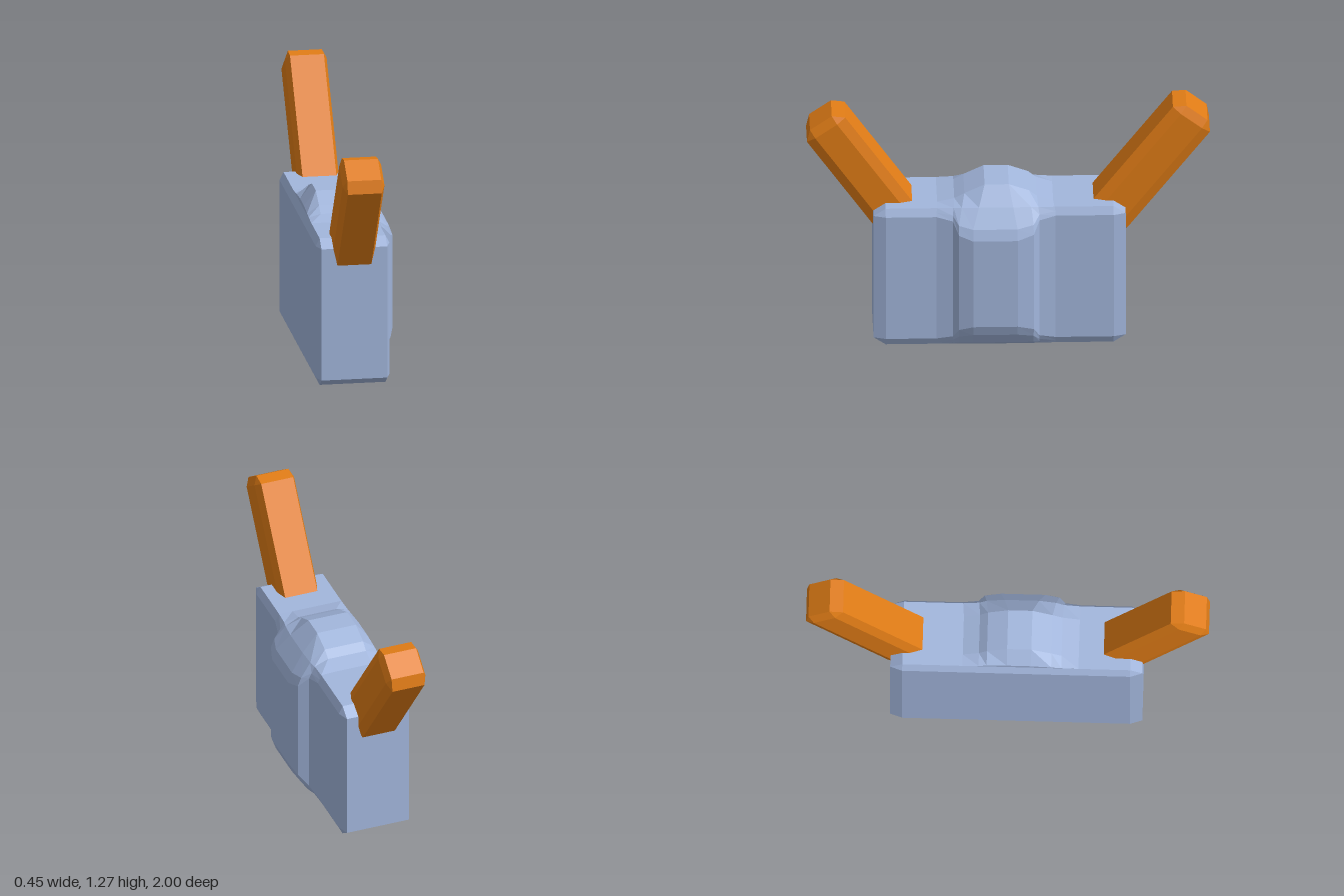
import * as THREE from 'three';
import { ConvexGeometry } from 'three/addons/geometries/ConvexGeometry.js';

const blue = new THREE.MeshStandardMaterial({ color: 0xa2b6dc, flatShading: true });
const orange = new THREE.MeshStandardMaterial({ color: 0xe07c16, flatShading: true });

// Box with half sizes h, its edges cut back by c along each axis
function chamferBox(h, c) {
  const points = [];
  for (const x of [-1, 1]) for (const y of [-1, 1]) for (const z of [-1, 1]) {
    for (let face = 0; face < 3; face++) {
      const p = [0, 1, 2].map(k => h[k] - (k === face ? 0 : c[k]));
      points.push(new THREE.Vector3(x * p[0], y * p[1], z * p[2]));
    }
  }
  return new ConvexGeometry(points);
}

// Raised band that wraps over the top and down the +x side of the body
function bandGeometry() {
  // [flush x, flush y, raised x, raised y, share of the top's spacing]
  const profile = [
    [-0.21, 0.74, -0.21, 0.74, 1],
    [-0.21, 0.76, -0.21, 0.78, 1],
    [-0.15, 0.76, -0.15, 0.855, 1],
    [0.05, 0.76, 0.055, 0.855, 1],
    [0.12, 0.76, 0.14, 0.77, 0.5],
    [0.13, 0.74, 0.205, 0.68, 0],
    [0.14, 0.72, 0.225, 0.625, 0],
    [0.14, 0.04, 0.225, 0.145, 0],
    [0.13, 0.02, 0.205, 0.09, 0],
    [0.125, 0.01, 0.16, 0.025, 0],
    [0.12, 0, 0.125, 0, 0],
  ];
  // [z on the side, z on the top, rise on the side, rise on the top]
  const sections = [
    [0.36, 0.355, 0, 0],
    [0.28, 0.27, 0.18, 0.2],
    [0.25, 0.22, 0.76, 0.5],
    [0.18, 0.12, 1, 1],
    [-0.04, 0, 1, 1],
    [-0.12, -0.1, 0.76, 0.62],
    [-0.15, -0.14, 0.18, 0.28],
    [-0.23, -0.22, 0, 0],
  ];
  const positions = [], index = [], n = profile.length;
  const mix = THREE.MathUtils.lerp;
  for (const [zSide, zTop, tSide, tTop] of sections) {
    for (const [x0, y0, x1, y1, w] of profile) {
      const t = mix(tSide, tTop, w);
      positions.push(mix(x0, x1, t), mix(y0, y1, t), mix(zSide, zTop, w));
    }
  }
  for (let s = 0; s < sections.length - 1; s++) {
    for (let i = 0; i < n - 1; i++) {
      const a = s * n + i, d = a + n;
      index.push(a, a + 1, d + 1, a, d + 1, d);
    }
  }
  const g = new THREE.BufferGeometry();
  g.setAttribute('position', new THREE.Float32BufferAttribute(positions, 3));
  g.setIndex(index);
  const flat = g.toNonIndexed();
  flat.computeVertexNormals();
  return flat;
}

export function createModel() {
  const group = new THREE.Group();
  const add = (name, geometry, material) => {
    const mesh = new THREE.Mesh(geometry, material);
    mesh.name = name;
    group.add(mesh);
    return mesh;
  };

  // Main block
  add('body', chamferBox([0.185, 0.38, 0.625], [0.02, 0.04, 0.06]), blue)
    .position.set(-0.045, 0.38, 0.047);

  // Raised band
  add('centreBand', bandGeometry(), blue);

  // Slanted bars: [name, tip z, tip y, direction z, direction y]
  const length = 0.76;
  const bars = [
    ['frontBar', 0.931, 1.202, 0.575, 0.818],
    ['backBar', -0.933, 1.234, -0.611, 0.791],
  ];
  for (const [name, z, y, dz, dy] of bars) {
    const bar = add(name, chamferBox([0.105, length / 2, 0.116], [0.02, 0.045, 0.05]), orange);
    bar.position.set(-0.045, y - dy * length / 2, z - dz * length / 2);
    bar.rotation.x = Math.atan2(dz, dy);
  }
  return group;
}
